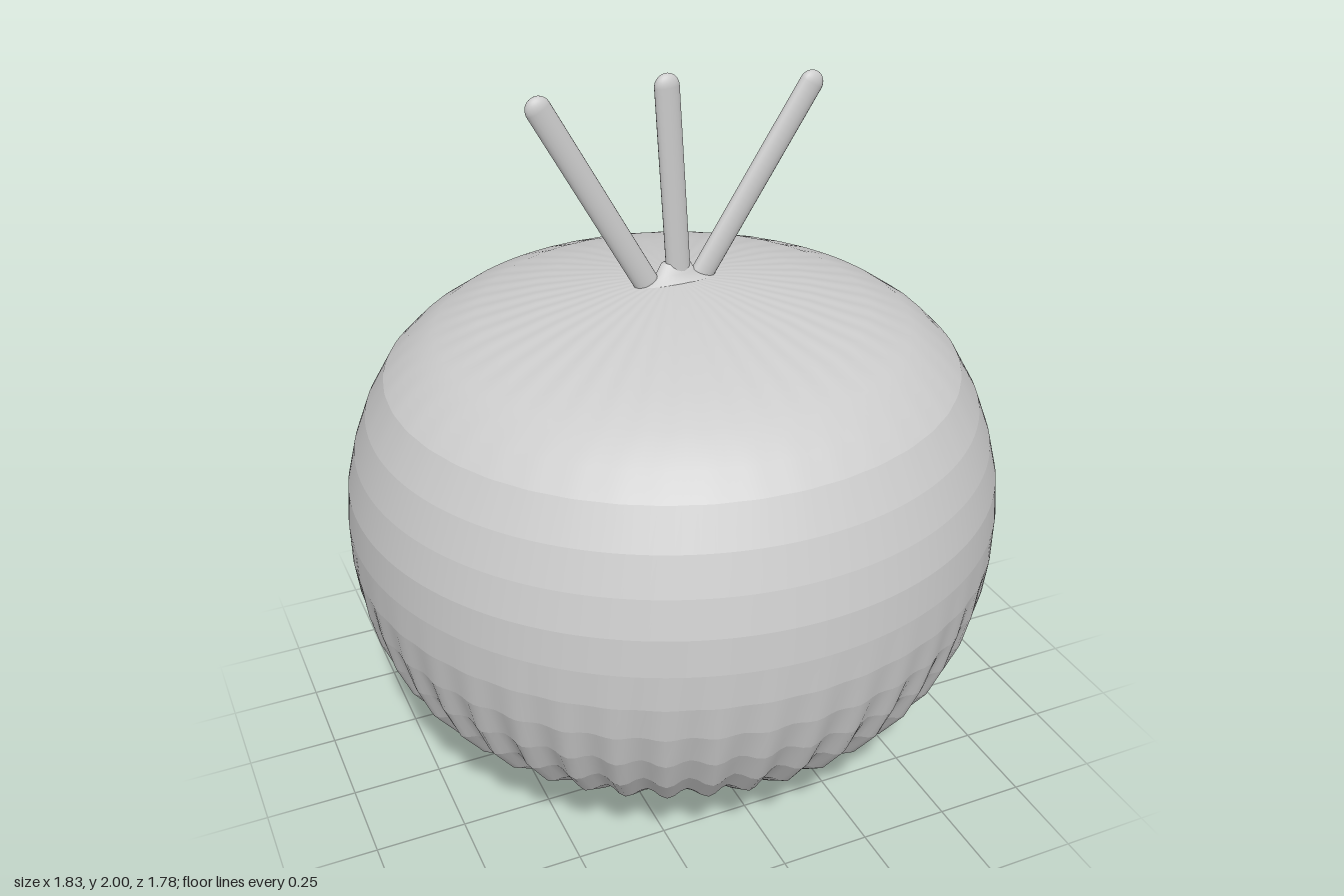
import * as THREE from 'three';

const material = new THREE.MeshStandardMaterial({ color: 0xcccccc, side: THREE.DoubleSide });

// Body profile from bottom tip to crown: [radius, height, rib depth]
const PROFILE = [
  [0, 0.005, 0], [0.16, 0.04, 0.001], [0.395, 0.1, 0.003], [0.55, 0.16, 0.007], [0.66, 0.225, 0.013],
  [0.752, 0.3, 0.021], [0.826, 0.4, 0.021], [0.871, 0.5, 0.015], [0.899, 0.6, 0.007],
  [0.913, 0.7, 0.002], [0.914, 0.8, 0], [0.905, 0.9, 0], [0.88, 1.0, 0], [0.842, 1.1, 0],
  [0.785, 1.2, 0.001], [0.725, 1.26, 0.004], [0.645, 1.315, 0.008], [0.53, 1.36, 0.009],
  [0.37, 1.4, 0.006], [0.18, 1.432, 0.002], [0, 1.45, 0],
];
const SMOOTH_BELOW = 4; // the tip, up to this profile row, is one smooth strip
const SMOOTH_ABOVE = 14; // and so is the crown, from this row
const RIBS = 44;
const SEGMENTS = RIBS * 6;

// Each strip owns its rings: smooth inside a strip, crisp between strips
function bodyGeometry() {
  const positions = [], indices = [];
  const addStrip = (rows) => {
    const start = positions.length / 3;
    for (const [r, y, depth] of rows) {
      for (let i = 0; i < SEGMENTS; i++) {
        const angle = (i / SEGMENTS) * Math.PI * 2;
        const rib = depth * Math.cos(RIBS * angle);
        const radius = r + rib * 0.55;
        positions.push(radius * Math.sin(angle), y - rib * 0.3, radius * Math.cos(angle) * 0.975);
      }
    }
    for (let k = 0; k < rows.length - 1; k++) {
      for (let i = 0; i < SEGMENTS; i++) {
        const a = start + k * SEGMENTS + i;
        const b = start + k * SEGMENTS + ((i + 1) % SEGMENTS);
        indices.push(a, b, b + SEGMENTS, a, b + SEGMENTS, a + SEGMENTS);
      }
    }
  };
  addStrip(PROFILE.slice(0, SMOOTH_BELOW + 1));
  for (let k = SMOOTH_BELOW; k < SMOOTH_ABOVE; k++) addStrip(PROFILE.slice(k, k + 2));
  addStrip(PROFILE.slice(SMOOTH_ABOVE));

  const geometry = new THREE.BufferGeometry();
  geometry.setAttribute('position', new THREE.Float32BufferAttribute(positions, 3));
  geometry.setIndex(indices);
  geometry.computeVertexNormals();
  return geometry;
}

// Flattened round-ended stalk between two points in the x-y plane
function makeStalk(name, x0, y0, x1, y1) {
  const radius = 0.034;
  const dx = x1 - x0, dy = y1 - y0;
  const geometry = new THREE.CapsuleGeometry(radius, Math.hypot(dx, dy) - 2 * radius, 8, 20);
  geometry.scale(1, 1, 0.58);
  const stalk = new THREE.Mesh(geometry, material);
  stalk.name = name;
  stalk.position.set((x0 + x1) / 2, (y0 + y1) / 2, 0.018);
  stalk.rotation.z = -Math.atan2(dx, dy);
  return stalk;
}

export function createModel() {
  const model = new THREE.Group();
  model.name = 'ribbedFruit';

  const body = new THREE.Mesh(bodyGeometry(), material);
  body.name = 'body';
  model.add(body);

  // Three stalks fanning from the crown
  model.add(
    makeStalk('rightStalk', -0.07, 1.42, -0.382, 1.98),
    makeStalk('middleStalk', 0.01, 1.42, -0.027, 2.0),
    makeStalk('leftStalk', 0.06, 1.42, 0.402, 1.955),
  );

  // Low flared collar joining the stalks to the body
  const collarProfile = [[0.13, 1.43], [0.09, 1.448], [0.055, 1.462], [0.04, 1.49], [0, 1.495]]
    .map(([r, y]) => new THREE.Vector2(r, y));
  const collarGeometry = new THREE.LatheGeometry(collarProfile, 32);
  collarGeometry.scale(1, 1, 0.45);
  const collar = new THREE.Mesh(collarGeometry, material);
  collar.name = 'stalkCollar';
  collar.position.z = 0.015;
  model.add(collar);

  return model;
}
